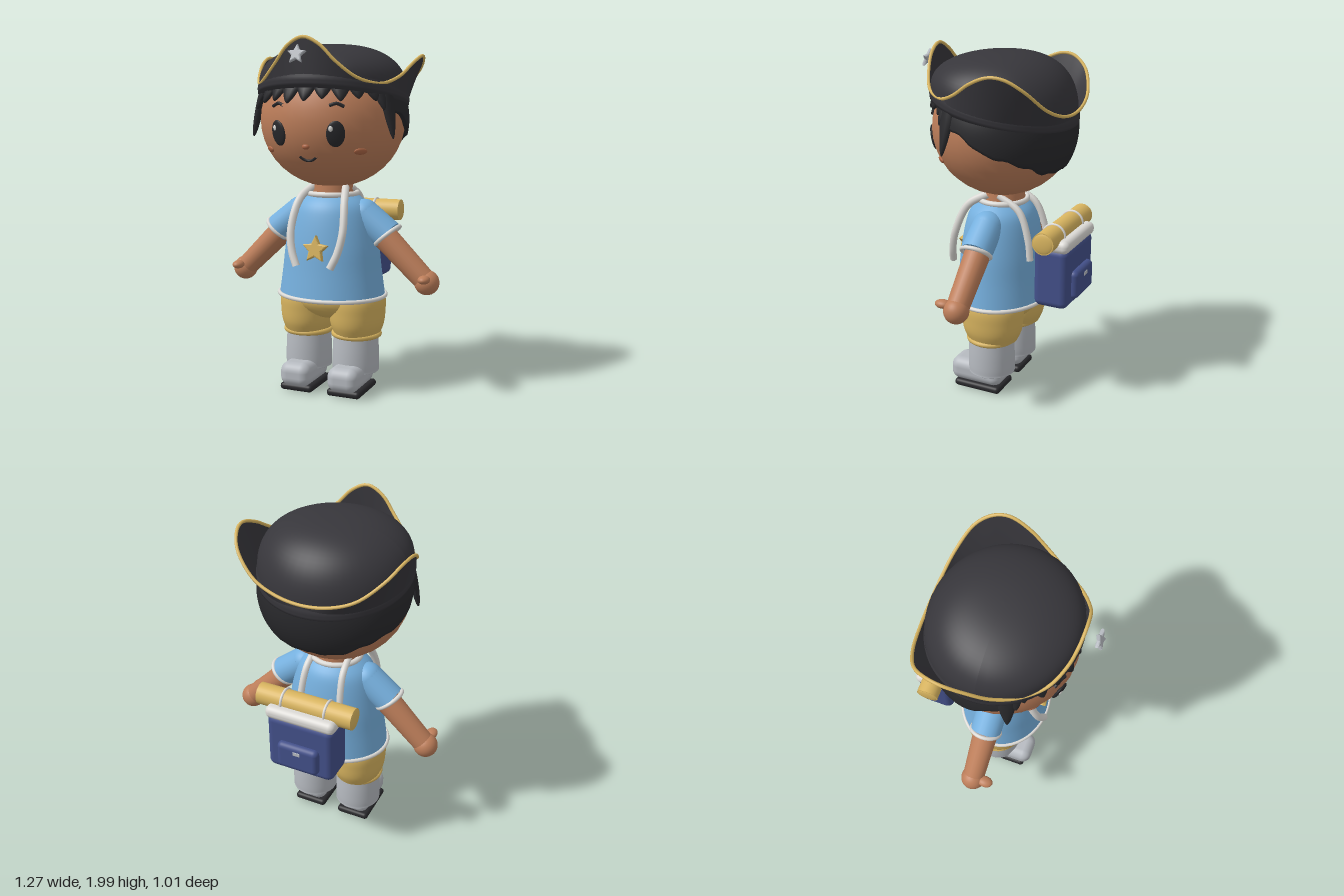
import * as THREE from 'three';
import { RoundedBoxGeometry } from 'three/addons/geometries/RoundedBoxGeometry.js';
import { ParametricGeometry } from 'three/addons/geometries/ParametricGeometry.js';

const V = (x, y, z) => new THREE.Vector3(x, y, z);

export function createModel() {
  const root = new THREE.Group();
  root.name = 'childWithHatAndBackpack';

  const paint = (name, color, side = THREE.FrontSide) => {
    const m = new THREE.MeshStandardMaterial({ color, side });
    m.name = name;
    return m;
  };
  const skin = paint('skin', 0xbd7e5a);
  const blush = paint('blush', 0xad6645);
  const black = paint('black', 0x29292c, THREE.DoubleSide);
  const charcoal = paint('charcoal', 0x37363b, THREE.DoubleSide);
  const gold = paint('gold', 0xd9b560);
  const blue = paint('shirtBlue', 0x76b0de, THREE.DoubleSide);
  const navy = paint('navy', 0x43508a);
  const white = paint('offWhite', 0xdcdad6);
  const grey = paint('bootGrey', 0xb6bac0);

  const add = (name, geo, mat, x = 0, y = 0, z = 0) => {
    const mesh = new THREE.Mesh(geo, mat);
    mesh.name = name;
    mesh.position.set(x, y, z);
    root.add(mesh);
    return mesh;
  };
  const ball = (name, mat, p, rx, ry = rx, rz = rx) =>
    add(name, new THREE.SphereGeometry(1, 32, 20).scale(rx, ry, rz), mat, ...p);
  const box = (name, mat, p, w, h, d, r) => add(name, new RoundedBoxGeometry(w, h, d, 4, r), mat, ...p);
  const tube = (name, mat, pts, r, closed = false, n = 32) =>
    add(name, new THREE.TubeGeometry(new THREE.CatmullRomCurve3(pts, closed), n, r, 8, closed), mat);
  const aim = (mesh, dir) => mesh.quaternion.setFromUnitVectors(V(0, 1, 0), dir.clone().normalize());
  const limb = (name, mat, a, b, ra, rb) => {
    const d = b.clone().sub(a), c = a.clone().lerp(b, 0.5);
    aim(add(name, new THREE.CylinderGeometry(rb, ra, d.length(), 24), mat, c.x, c.y, c.z), d);
  };
  const ring = (name, mat, p, r, t, sz = 1) =>
    add(name, new THREE.TorusGeometry(r, t, 10, 48).rotateX(Math.PI / 2).scale(1, 1, sz), mat, ...p);
  const lathe = (pts, sz) =>
    new THREE.LatheGeometry(new THREE.SplineCurve(pts.map(p => new THREE.Vector2(...p))).getPoints(24), 48).scale(1, 1, sz);
  const star = (R, depth) => {
    const s = new THREE.Shape();
    for (let i = 0; i < 10; i++) {
      const a = i * Math.PI / 5, r = i % 2 ? R * 0.5 : R;
      s[i ? 'lineTo' : 'moveTo'](Math.sin(a) * r, Math.cos(a) * r);
    }
    s.closePath();
    return new THREE.ExtrudeGeometry(s, { depth, bevelSize: 0.008, bevelThickness: 0.008, bevelOffset: -0.008, bevelSegments: 2 })
      .translate(0, 0, -depth / 2);
  };

  // Head, with helpers that place features on its surface
  const H = { y: 1.55, z: 0.005, rx: 0.41, ry: 0.38, rz: 0.395 };
  ball('head', skin, [0, H.y, H.z], H.rx, H.ry, H.rz);
  const onHead = (x, y, out = 0) => {
    const k = 1 - (x / H.rx) ** 2 - ((y - H.y) / H.ry) ** 2;
    return V(x, y, H.z + H.rz * Math.sqrt(Math.max(k, 0)) + out);
  };
  const faceOut = (mesh) => {
    const p = mesh.position;
    mesh.lookAt(V(p.x / H.rx ** 2, (p.y - H.y) / H.ry ** 2, (p.z - H.z) / H.rz ** 2).add(p));
    return mesh;
  };
  const feature = (name, mat, x, y, rx, ry, rz, out = 0) =>
    faceOut(ball(name, mat, onHead(x, y, out).toArray(), rx, ry, rz));
  for (const s of [-1, 1]) {
    feature('eye', black, s * 0.165, 1.485, 0.05, 0.07, 0.014);
    feature('eyeHighlight', white, s * 0.165 - 0.018, 1.512, 0.012, 0.015, 0.006, 0.014);
    feature('cheek', blush, s * 0.265, 1.39, 0.038, 0.019, 0.01);
    tube('eyebrow', black, [0.133, 0.168, 0.206].map((x, i) => onHead(s * x, [1.632, 1.643, 1.627][i], 0.003)), 0.009);
  }
  feature('nose', blush, 0, 1.415, 0.021, 0.015, 0.014);
  tube('mouth', black, [-0.048, -0.025, 0, 0.025, 0.048].map((x, i) => onHead(x, [1.36, 1.344, 1.338, 1.344, 1.36][i], 0.002)), 0.007);

  // Hair shell: lower edge dips toward the back
  const edge = [[0, 1.74], [60, 1.72], [72, 1.6], [85, 1.57], [100, 1.49], [118, 1.45], [137, 1.4], [152, 1.35], [180, 1.345]];
  const edgeY = (deg) => {
    const i = Math.max(1, edge.findIndex(e => e[0] >= deg - 1e-6));
    const [a, ya] = edge[i - 1], [b, yb] = edge[i];
    return ya + (yb - ya) * (deg - a) / (b - a);
  };
  add('hair', new ParametricGeometry((u, v, t) => {
    const a = u * Math.PI * 2, deg = Math.min(u, 1 - u) * 360;
    const low = edgeY(deg) + 0.006 * Math.sin(deg * 0.33);
    const w = Math.min(v / 0.1, 1);
    const y = low + (1.8 - low) * Math.max(0, (v - 0.1) / 0.9);
    const s = Math.sqrt(1 - ((y - 1.55) / 0.4) ** 2) * (0.94 + 0.06 * w);
    t.set(Math.sin(a) * 0.43 * s, y, Math.cos(a) * 0.405 * s);
  }, 96, 20), black);

  // Fringe and side locks
  const tuft = (name, deg, top, tip, width) => {
    const a = deg * Math.PI / 180, y = (top + tip) / 2;
    const s = Math.sqrt(1 - ((y - H.y) / H.ry) ** 2) * 1.03;
    const geo = new THREE.SphereGeometry(1, 12, 16);
    const q = geo.attributes.position;
    for (let i = 0; i < q.count; i++) {
      const k = q.getY(i) < 0 ? Math.sqrt((1 + q.getY(i)) / Math.sqrt(1 - q.getY(i) ** 2 + 1e-6) * 0.9 + 1e-6) : 1;
      q.setX(i, q.getX(i) * Math.min(k, 1));
    }
    geo.scale(width, (top - tip) / 2, 0.022);
    geo.computeVertexNormals();
    faceOut(add(name, geo, black, Math.sin(a) * H.rx * s, y, H.z + Math.cos(a) * H.rz * s));
  };
  for (let i = -4; i <= 4; i++) tuft('fringe', i * 14, 1.81, 1.645 + 0.012 * (i % 2), 0.055);
  for (const s of [-1, 1]) {
    tuft('sideLock', s * 68, 1.8, 1.45, 0.045);
    tuft('sideLock', s * 62, 1.79, 1.6, 0.04);
  }

  // Hat: tilted dome, band and folded brim with gold edge
  const tilt = (z) => 1.7 + 0.2 * z;
  const crown = new THREE.SphereGeometry(1, 48, 20, 0, Math.PI * 2, 0, Math.PI / 2);
  const cp = crown.attributes.position;
  for (let i = 0; i < cp.count; i++) {
    const r = Math.min(1, Math.hypot(cp.getX(i), cp.getZ(i)));
    const h = Math.pow(1 - r ** 2.4, 1 / 2.4), z = cp.getZ(i) * 0.4;
    cp.setXYZ(i, cp.getX(i) * 0.42, 1.7 + 0.2 * z * (1 - h) + 0.265 * h, z);
  }
  crown.computeVertexNormals();
  add('hatCrown', crown, charcoal);
  const bandRows = [[0.86, -0.055], [0.98, -0.055], [1.015, -0.04], [1.02, -0.015], [1, 0.02]];
  add('hatBand', new ParametricGeometry((u, v, t) => {
    const f = v * 4, i = Math.min(3, Math.floor(f)), k = f - i, a = u * Math.PI * 2;
    const r = bandRows[i][0] * (1 - k) + bandRows[i + 1][0] * k;
    const dy = bandRows[i][1] * (1 - k) + bandRows[i + 1][1] * k;
    const z = Math.cos(a) * 0.4;
    t.set(Math.sin(a) * 0.42 * r, tilt(z) + dy, z * r);
  }, 64, 8), charcoal);
  const half = [[0, 1.985, 0.408], [0.09, 1.945, 0.402], [0.17, 1.86, 0.378], [0.27, 1.775, 0.315], [0.36, 1.748, 0.2],
    [0.42, 1.785, 0.09], [0.458, 1.86, -0.03], [0.472, 1.9, -0.14], [0.458, 1.89, -0.22], [0.41, 1.83, -0.305],
    [0.29, 1.725, -0.37], [0.15, 1.67, -0.395], [0, 1.652, -0.402]].map(p => V(...p));
  const rimPts = [...half, ...half.slice(1, -1).reverse().map(p => V(-p.x, p.y, p.z))];
  const rim = new THREE.CatmullRomCurve3(rimPts, true);
  add('hatBrim', new ParametricGeometry((u, v, t) => {
    const e = rim.getPoint(u), a = Math.atan2(e.x / 0.425, e.z / 0.4);
    const z = Math.cos(a) * 0.4;
    t.set(Math.sin(a) * 0.425, tilt(z) - 0.01, z).lerp(e, v);
  }, 120, 6), charcoal);
  tube('hatTrim', gold, rimPts, 0.009, true, 160);
  add('hatStar', star(0.055, 0.006), grey, 0, 1.893, 0.483).rotation.x = -0.33;

  // Neck, shirt and shirt trim
  add('neck', new THREE.CylinderGeometry(0.11, 0.12, 0.16, 32), skin, 0, 1.14, 0);
  add('shirt', lathe([[0.31, 0.555], [0.29, 0.7], [0.272, 0.85], [0.24, 1], [0.205, 1.08], [0.14, 1.135]], 0.84), blue, 0, 0, 0.015);
  ring('shirtHem', white, [0, 0.557, 0.015], 0.313, 0.012, 0.84);
  ring('collar', white, [0, 1.135, 0.01], 0.142, 0.016, 0.95);
  add('shirtStar', star(0.078, 0.02), gold, 0, 0.845, 0.252).rotation.x = -0.12;

  for (const s of [-1, 1]) {
    // Hanging ribbons
    tube('frontRibbon', white, [V(s * 0.1, 1.175, 0.06), V(s * 0.135, 1.11, 0.165), V(s * 0.155, 0.945, 0.24),
      V(s * 0.135, 0.83, 0.27), V(s * 0.1, 0.75, 0.288)], 0.022);
    tube('backRibbon', white, [V(s * 0.1, 1.175, -0.01), V(s * 0.11, 1.1, -0.14), V(s * 0.12, 0.945, -0.2), V(s * 0.12, 0.83, -0.213)], 0.02);

    // Arms
    const shoulder = V(s * 0.195, 1.02, 0.012), cuff = V(s * 0.335, 0.91, 0.012), hand = V(s * 0.565, 0.66, 0.012);
    ball('shoulder', blue, shoulder.toArray(), 0.088);
    limb('sleeve', blue, shoulder, cuff, 0.088, 0.088);
    aim(ring('sleeveCuff', white, cuff.toArray(), 0.083, 0.012), V(s * 0.64, -0.77, 0));
    limb('arm', skin, shoulder, hand, 0.078, 0.062);
    ball('hand', skin, hand.toArray(), 0.07);
    ball('thumb', skin, [s * 0.572, 0.69, 0.09], 0.033, 0.024, 0.045);

    // Shorts legs
    add('shortsLeg', lathe([[0.128, 0.33], [0.15, 0.39], [0.158, 0.46], [0.158, 0.54], [0.13, 0.62]], 1.15), gold, s * 0.152, 0, 0.005);
    ring('shortsCuff', gold, [s * 0.15, 0.332, 0.012], 0.13, 0.016);

    // Boots
    add('bootShaft', lathe([[0.001, 0.115], [0.12, 0.117], [0.133, 0.135], [0.133, 0.23], [0.127, 0.335]], 1.02), grey, s * 0.147, 0, 0.015);
    box('bootFoot', grey, [s * 0.145, 0.105, 0.09], 0.185, 0.14, 0.325, 0.055);
    box('bootSole', black, [s * 0.145, 0.025, 0.072], 0.2, 0.042, 0.29, 0.02);
    box('solePatch', gold, [s * 0.145, 0.004, 0.09], 0.05, 0.006, 0.05, 0.002);
  }
  ball('shortsHips', gold, [0, 0.54, 0.005], 0.285, 0.13, 0.2);

  // Backpack with pocket, flap and bedroll
  box('backpackBody', navy, [0, 0.775, -0.365], 0.4, 0.35, 0.2, 0.04);
  box('backpackPocket', navy, [0, 0.725, -0.465], 0.25, 0.165, 0.07, 0.03);
  box('pocketBuckle', grey, [0, 0.765, -0.498], 0.045, 0.025, 0.009, 0.004);
  box('backpackFlap', white, [0, 0.965, -0.365], 0.42, 0.075, 0.215, 0.034);
  add('bedroll', new THREE.CylinderGeometry(0.062, 0.062, 0.57, 32).rotateZ(Math.PI / 2), gold, 0, 1.005, -0.36);
  for (const s of [-1, 1]) {
    ball('bedrollEnd', gold, [s * 0.28, 1.005, -0.36], 0.014, 0.06, 0.06);
    add('bedrollStrap', new THREE.TorusGeometry(0.063, 0.008, 8, 32).rotateY(Math.PI / 2), white, s * 0.13, 1.005, -0.36);
  }
  return root;
}
